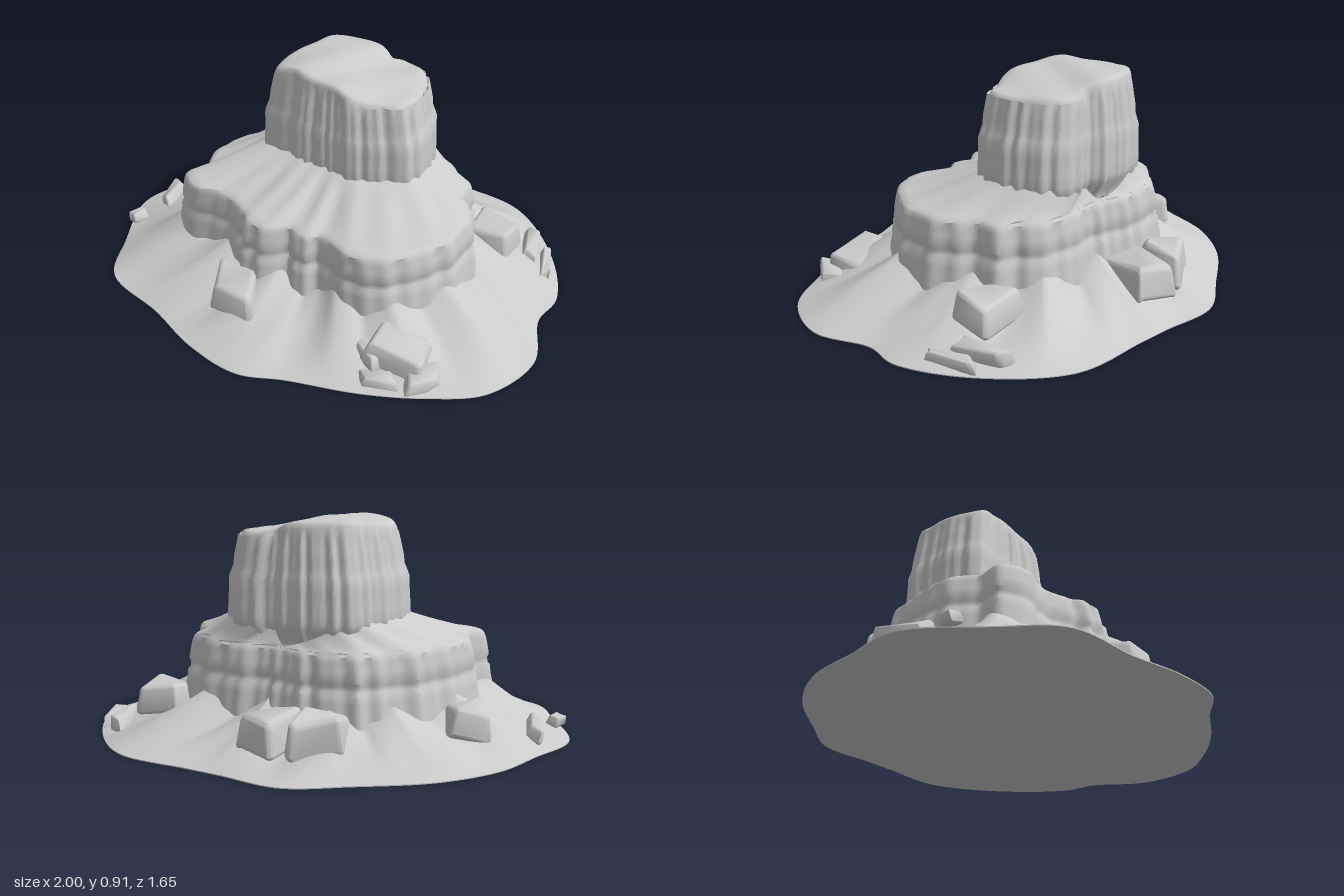
import * as THREE from 'three';
import { toCreasedNormals } from 'three/addons/utils/BufferGeometryUtils.js';
import { RoundedBoxGeometry } from 'three/addons/geometries/RoundedBoxGeometry.js';

const SEGMENTS = 240;
const rock = new THREE.MeshStandardMaterial({ color: 0xcccccc });
const lerp = THREE.MathUtils.lerp;

// Closed outline of [x, z] points, returned as a function of the angle about a centre
function outline(points, cx, cz) {
  const curve = new THREE.CatmullRomCurve3(points.map(([x, z]) => new THREE.Vector3(x - cx, 0, z - cz)), true);
  const polar = curve.getPoints(500).slice(0, -1)
    .map(p => [Math.atan2(p.z, p.x), Math.hypot(p.x, p.z)])
    .sort((a, b) => a[0] - b[0]);
  const first = polar[0], last = polar[polar.length - 1];
  polar.unshift([last[0] - 2 * Math.PI, last[1]]);
  polar.push([first[0] + 2 * Math.PI, first[1]]);
  return angle => {
    const a = Math.atan2(Math.sin(angle), Math.cos(angle));
    let i = 1;
    while (i < polar.length - 1 && polar[i][0] < a) i++;
    const [a0, r0] = polar[i - 1], [a1, r1] = polar[i];
    const r = lerp(r0, r1, (a - a0) / (a1 - a0 || 1));
    return [cx + r * Math.cos(a), cz + r * Math.sin(a)];
  };
}

// Skin a stack of rings; each ring maps an angle to [x, y, z]
function loft(name, rings, crease = 0.75) {
  const positions = [], index = [];
  rings.forEach((ring, i) => {
    for (let j = 0; j < SEGMENTS; j++) {
      positions.push(...ring((j / SEGMENTS) * Math.PI * 2));
      if (i === rings.length - 1) continue;
      const a = i * SEGMENTS + j, b = i * SEGMENTS + (j + 1) % SEGMENTS;
      index.push(a, a + SEGMENTS, b, b, a + SEGMENTS, b + SEGMENTS);
    }
  });
  const geometry = new THREE.BufferGeometry();
  geometry.setAttribute('position', new THREE.Float32BufferAttribute(positions, 3));
  geometry.setIndex(index);
  const mesh = new THREE.Mesh(toCreasedNormals(geometry, crease), rock);
  mesh.name = name;
  return mesh;
}

const base = outline([
  [1, 0.24], [0.945, 0], [0.975, -0.16], [0.86, -0.45], [0.62, -0.7], [0.3, -0.76], [0.15, -0.785],
  [-0.1, -0.83], [-0.34, -0.73], [-0.61, -0.59], [-0.8, -0.4], [-0.9, -0.19], [-1, 0.05], [-0.9, 0.35],
  [-0.8, 0.56], [-0.5, 0.67], [-0.26, 0.775], [-0.02, 0.82], [0.165, 0.765], [0.46, 0.695],
  [0.7, 0.6], [0.89, 0.48]], 0, 0);

const terrace = outline([
  [0.59, -0.05], [0.59, 0.08], [0.56, 0.19], [0.52, 0.24], [0.43, 0.35], [0.27, 0.41], [0.19, 0.38],
  [0.12, 0.35], [0.06, 0.385], [-0.02, 0.36], [-0.11, 0.41], [-0.2, 0.385], [-0.25, 0.34], [-0.4, 0.28],
  [-0.5, 0.3], [-0.6, 0.22], [-0.56, 0.12], [-0.58, 0.03], [-0.55, -0.11], [-0.5, -0.18], [-0.45, -0.28],
  [-0.35, -0.36], [-0.27, -0.43], [-0.13, -0.45], [0, -0.43], [0.1, -0.39], [0.25, -0.39], [0.38, -0.36],
  [0.44, -0.3], [0.51, -0.25], [0.52, -0.15]], 0, -0.03);

const TOWER_Z = -0.17;
const crown = outline([
  [0.31, -0.12], [0.28, -0.02], [0.2, 0.02], [0.1, 0.06], [0, 0.04], [-0.12, 0.025], [-0.19, 0],
  [-0.28, -0.01], [-0.3, -0.1], [-0.28, -0.2], [-0.24, -0.28], [-0.2, -0.36], [-0.08, -0.4], [0.04, -0.39],
  [0.11, -0.35], [0.15, -0.37], [0.23, -0.35], [0.29, -0.27]], 0, TOWER_Z);

const flute = a => 0.006 * Math.sin(23 * a + 2 * Math.sin(3 * a)) + 0.004 * Math.sin(41 * a + 1);

const push = ([x, z], a, d) => [x + d * Math.cos(a), z + d * Math.sin(a)];

// Height of the scree against the cliff, peaking in a fan at each listed angle
const FANS = [-13, 20, 43, 65, 97, 133, 160, 190, 222, 250, 285, 318].map(d => d * Math.PI / 180);
function screeHeight(a) {
  const nearest = Math.min(...FANS.map(f => Math.abs(Math.atan2(Math.sin(a - f), Math.cos(a - f)))));
  return Math.max(0.13, 0.21 - 0.3 * nearest);
}

function screeApron() {
  const rings = [() => 0, () => 0].map((_, i) => a => {
    const [x, z] = base(a);
    return [x * (i || 0.001), 0, z * (i || 0.001)];
  });
  for (let i = 0; i <= 14; i++) {
    const t = i / 14;
    rings.push(a => {
      const outer = base(a), inner = push(terrace(a), a, 0.025);
      const ripple = 0.006 * Math.sin(t * Math.PI) * Math.sin(17 * a + 3 * t);
      const y = 0.004 + screeHeight(a) * (0.82 * t + 0.18 * t * t) + ripple;
      return [lerp(outer[0], inner[0], t), y, lerp(outer[1], inner[1], t)];
    });
  }
  return loft('screeApron', rings, 0.9);
}

function lowerCliff() {
  // [height, outward step] of each rock layer, bottom to rim
  const layers = [[0.05, 0.055], [0.18, 0.045], [0.22, 0.036], [0.25, 0.034], [0.265, 0.022], [0.285, 0.02],
    [0.3, 0.027], [0.34, 0.02], [0.375, 0.012], [0.395, 0.008], [0.405, -0.003]];
  const rings = layers.map(([y, step]) => a => {
    const [x, z] = push(terrace(a), a, step + flute(a) * (y > 0.38 ? 0.5 : 1.1));
    return [x, y, z];
  });
  // Sloping shelf, rising to the foot of the tower
  for (let i = 1; i <= 12; i++) {
    const t = i / 12;
    rings.push(a => {
      const rim = terrace(a), foot = towerFoot(a, -0.015);
      const gap = Math.hypot(rim[0], rim[1] - TOWER_Z) - Math.hypot(foot[0], foot[1] - TOWER_Z);
      const rise = 0.105 * THREE.MathUtils.clamp(gap / 0.12, 0.1, 1);
      const ripple = 0.004 * Math.sin(t * Math.PI) * Math.sin(19 * a);
      return [lerp(rim[0], foot[0], t), 0.407 + rise * Math.pow(t, 1.35) + ripple, lerp(rim[1], foot[1], t)];
    });
  }
  return loft('lowerCliff', rings);
}

function towerFoot(a, step) {
  const [x, z] = crown(a);
  return push([x * 1.18, TOWER_Z + (z - TOWER_Z) * 1.12], a, step);
}

const crownHeight = (x, z) =>
  0.877 - 0.035 * x + 0.022 * Math.cos(9 * (x + 0.1)) + 0.006 * Math.sin(24 * x + 15 * z);

function tower() {
  // [height, blend from foot to crown, outward step]
  const layers = [[0.4, 0, -0.05], [0.43, 0, -0.045], [0.48, 0, -0.005], [0.51, 0, 0], [0.56, 0.05, 0],
    [0.62, 0.12, 0], [0.66, 0.2, 0.004], [0.69, 0.4, 0.003], [0.71, 0.55, 0.003], [0.75, 0.65, 0.004],
    [0.79, 0.8, 0.003], [0.83, 0.95, 0.002]];
  const rings = layers.map(([y, t, step]) => a => {
    const foot = towerFoot(a, 0), top = crown(a);
    const [x, z] = push([lerp(foot[0], top[0], t), lerp(foot[1], top[1], t)], a, step + 0.8 * flute(a));
    return [x, y, z];
  });
  // Rounded rim and rolling crown
  [[1, -0.025], [0.975, -0.009], [0.94, -0.002], [0.85, 0], [0.7, 0], [0.5, 0], [0.3, 0], [0.15, 0], [0.002, 0]]
    .forEach(([s, drop]) => rings.push(a => {
      const [cx, cz] = crown(a);
      const x = cx * s, z = TOWER_Z + (cz - TOWER_Z) * s;
      return [x, crownHeight(x, z) + drop, z];
    }));
  return loft('tower', rings);
}

// Weathered block: a rounded box, tapered and warped by its own seed
function boulder([x, y, z, w, h, d, turn, tilt], seed) {
  const geometry = new RoundedBoxGeometry(w, h, d, 4, Math.min(w, h, d) * 0.18);
  const p = geometry.attributes.position;
  for (let i = 0; i < p.count; i++) {
    const u = p.getX(i) / w, v = p.getY(i) / h, k = p.getZ(i) / d;
    const s = 1.02 - 0.22 * v;
    p.setXYZ(i,
      w * (u * s + 0.1 * Math.sin(4 * k + seed)),
      h * (v + 0.12 * Math.sin(4 * u + 3 * k + seed * 2)),
      d * (k * s + 0.1 * Math.sin(4 * u + seed * 3)));
  }
  geometry.computeVertexNormals();
  const mesh = new THREE.Mesh(toCreasedNormals(geometry, 0.7), rock);
  mesh.position.set(x, y, z);
  mesh.rotation.set(0, turn, tilt);
  mesh.name = 'boulder';
  return mesh;
}

// x, y, z, width, height, depth, turn, tilt
const BOULDERS = [
  [-0.2, 0.125, 0.51, 0.19, 0.12, 0.2, 0.15, 0],
  [0.53, 0.085, 0.49, 0.23, 0.1, 0.17, 0.1, -0.2],
  [0.65, 0.04, 0.55, 0.14, 0.06, 0.09, 0.8, -0.15],
  [0.43, 0.07, 0.55, 0.13, 0.06, 0.07, -0.7, 0.1],
  [0.5, 0.04, 0.63, 0.13, 0.04, 0.06, 0.3, 0],
  [0.63, 0.135, -0.3, 0.19, 0.12, 0.17, 0.1, 0],
  [0.78, 0.05, -0.4, 0.06, 0.06, 0.2, 0.25, -0.2],
  [0.87, 0.035, -0.33, 0.04, 0.05, 0.18, 0.2, -0.2],
  [-0.63, 0.125, -0.2, 0.16, 0.12, 0.18, 0.3, 0.1],
  [-0.16, 0.125, -0.57, 0.2, 0.15, 0.17, 0.35, 0],
  [0.03, 0.125, -0.57, 0.17, 0.14, 0.23, -0.2, 0],
  [-0.87, 0.06, 0, 0.06, 0.06, 0.17, 0.1, 0.3],
  [-0.93, 0.045, 0.2, 0.05, 0.045, 0.07, -0.4, 0.3],
];

export function createModel() {
  const model = new THREE.Group();
  model.name = 'rockMesa';
  const boulders = new THREE.Group();
  boulders.name = 'boulders';
  BOULDERS.forEach((b, i) => boulders.add(boulder(b, i * 1.7)));
  model.add(screeApron(), lowerCliff(), tower(), boulders);
  return model;
}
